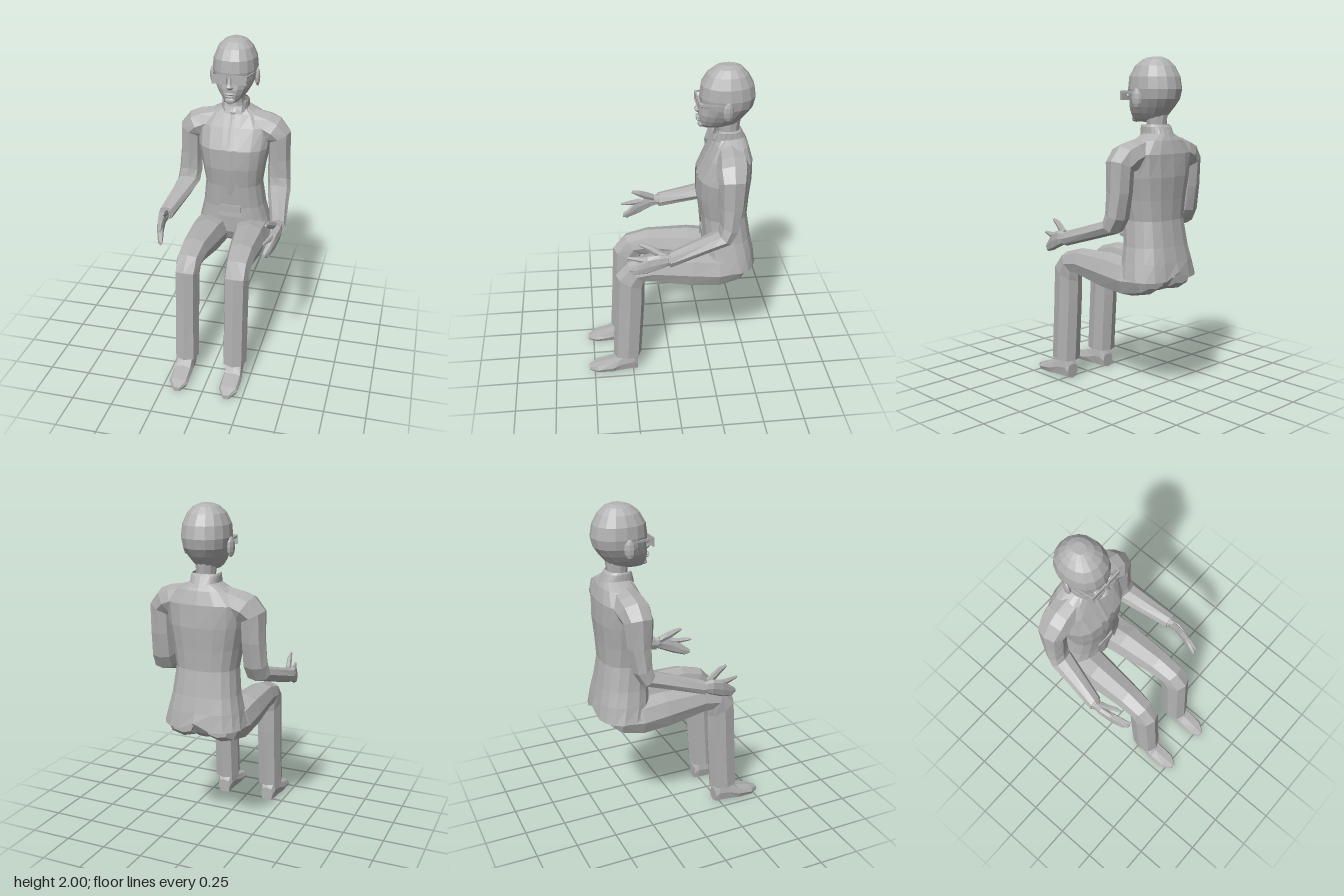
import * as THREE from 'three';

const clay = new THREE.MeshStandardMaterial({ color: 0xb2b2b2, flatShading: true, side: THREE.DoubleSide });
clay.name = 'plain grey';

// Rounded point, so no coordinate is a vanishingly small number
const snap = (v) => Math.round(v * 10000) / 10000;
const point = (x, y, z) => new THREE.Vector3(snap(x), snap(y), snap(z));
const power = (v, p) => Math.sign(v) * Math.pow(Math.abs(v), p);

// Section between a rear/lower point (ya, za) and a front/upper point (yb, zb), half width rx, tilt uy
function ring([cx, rx, ya, za, yb, zb, uy = 0], n, p = 1) {
  return Array.from({ length: n }, (_, j) => {
    const t = (j / n) * Math.PI * 2;
    const c = power(Math.cos(t), p), s = power(Math.sin(t), p);
    return point(cx + rx * c, (ya + yb) / 2 + uy * c + ((yb - ya) / 2) * s, (za + zb) / 2 + ((zb - za) / 2) * s);
  });
}

// Faceted skin over a list of sections; always turned outward
function skin(rings, closed = true) {
  const n = rings[0].length, points = rings.flat(), faces = [];
  const centre = points.reduce((sum, q) => sum.add(q), new THREE.Vector3()).divideScalar(points.length);
  for (let i = 0; i < rings.length - 1; i++) {
    for (let j = 0; j < (closed ? n : n - 1); j++) {
      const k = (j + 1) % n, a = i * n + j, b = i * n + k;
      faces.push([a, b, a + n], [b, b + n, a + n]);
    }
  }
  if (closed) {
    for (const i of [0, rings.length - 1]) {
      const hub = points.length;
      points.push(rings[i].reduce((sum, q) => sum.add(q), new THREE.Vector3()).divideScalar(n));
      for (let j = 0; j < n; j++) {
        const a = i * n + j, b = i * n + ((j + 1) % n);
        faces.push(i ? [hub, a, b] : [hub, b, a]);
      }
    }
  }
  let volume = 0;
  for (const face of faces) {
    const [a, b, c] = face.map((f) => points[f].clone().sub(centre));
    volume += a.dot(b.cross(c));
  }
  const geometry = new THREE.BufferGeometry().setFromPoints(points);
  geometry.setIndex(faces.flatMap(([a, b, c]) => (volume < 0 ? [a, c, b] : [a, b, c])));
  geometry.computeVertexNormals();
  return geometry;
}
const loft = (specs, n, p) => skin(specs.map((s) => ring(s, n, p)));

// Level sections: [y, half width, z front, z back]
const stack = (rows, n, p) => loft(rows.map(([y, w, f, b]) => [0, w, y, b, y, f]), n, p);

// Section open at the front: [y, half width, z front, z back, half opening, hem lift]
function wrap([y, w, f, b, gap, hem = 0]) {
  const p = 0.8, n = 16, start = Math.asin(Math.pow(gap / w, 1 / p));
  return Array.from({ length: n + 1 }, (_, j) => {
    const t = start + ((Math.PI * 2 - 2 * start) * j) / n;
    const lift = j === n / 2 ? hem : hem * Math.max(0, Math.cos(t));
    return point(w * power(Math.sin(t), p), y + lift, (f + b) / 2 + ((f - b) / 2) * power(Math.cos(t), p));
  });
}

export function createModel() {
  const model = new THREE.Group();
  model.name = 'seatedFigure';
  const add = (name, geometry, x = 0, y = 0, z = 0) => {
    const mesh = new THREE.Mesh(geometry, clay);
    mesh.name = name;
    mesh.position.set(x, y, z);
    model.add(mesh);
    return mesh;
  };
  const box = (name, w, h, d, x, y, z) => add(name, new THREE.BoxGeometry(w, h, d), x, y, z);
  const ball = (name, rx, ry, rz, x, y, z) =>
    add(name, new THREE.SphereGeometry(1, 8, 6).scale(rx, ry, rz), x, y, z);

  // Head and neck
  add('head', stack([
    [2.0, 0.035, -0.3, -0.38], [1.985, 0.07, -0.26, -0.415], [1.95, 0.105, -0.215, -0.45],
    [1.89, 0.131, -0.18, -0.484], [1.82, 0.137, -0.172, -0.497], [1.765, 0.128, -0.178, -0.485],
    [1.72, 0.108, -0.17, -0.455], [1.685, 0.088, -0.172, -0.425], [1.655, 0.066, -0.176, -0.4],
    [1.635, 0.04, -0.19, -0.33],
  ], 16, 0.92));
  add('neck', stack([[1.69, 0.058, -0.28, -0.42], [1.6, 0.054, -0.29, -0.41], [1.52, 0.065, -0.28, -0.42]], 10));

  // Face
  add('nose', loft([[0, 0.01, 1.8, -0.19, 1.8, -0.166], [0, 0.016, 1.76, -0.19, 1.757, -0.153],
    [0, 0.024, 1.738, -0.19, 1.738, -0.143], [0, 0.016, 1.725, -0.19, 1.722, -0.162]], 6));
  ball('upperLip', 0.034, 0.009, 0.014, 0, 1.696, -0.168);
  ball('lowerLip', 0.027, 0.009, 0.014, 0, 1.68, -0.17);
  ball('chin', 0.034, 0.02, 0.02, 0, 1.651, -0.187);

  // Spectacles, eyes and ears
  box('bridge', 0.034, 0.008, 0.008, 0, 1.8, -0.163);
  for (const s of [1, -1]) {
    ball('eye', 0.022, 0.012, 0.012, s * 0.055, 1.785, -0.184);
    ball('ear', 0.016, 0.057, 0.032, s * 0.138, 1.768, -0.322).rotation.y = s * 0.25;
    box('lens', 0.084, 0.044, 0.004, s * 0.06, 1.784, -0.166);
    for (const y of [1.761, 1.808]) box('rim', 0.092, 0.007, 0.009, s * 0.06, y, -0.165);
    for (const x of [0.017, 0.104]) box('rimSide', 0.006, 0.05, 0.009, s * x, 1.784, -0.165);
    box('templeArm', 0.006, 0.012, 0.18, s * 0.121, 1.803, -0.252).rotation.y = -s * 0.19;
  }

  // Open jacket and collar
  const coat = [
    [1.58, 0.07, -0.275, -0.435, 0.05], [1.535, 0.16, -0.262, -0.462, 0.055],
    [1.46, 0.235, -0.225, -0.485, 0.052], [1.33, 0.225, -0.163, -0.49, 0.05],
    [1.2, 0.2, -0.165, -0.48, 0.05], [1.08, 0.182, -0.185, -0.475, 0.055],
    [0.93, 0.2, -0.2, -0.5, 0.065], [0.84, 0.222, -0.2, -0.52, 0.085],
    [0.74, 0.245, -0.2, -0.535, 0.13, 0.045],
  ];
  add('jacket', skin(coat.map(wrap), false));
  add('collar', skin([[1.622, 0.078, -0.27, -0.412, 0.06], [1.61, 0.083, -0.265, -0.425, 0.06],
    [1.55, 0.085, -0.255, -0.455, 0.05]].map(wrap), false));

  // Shirt, tie and belt inside the opening
  add('shirt', stack(coat.slice(0, 7).map(([y, w, f, b]) => [y, w - 0.014, f - 0.01, b + 0.014]), 16, 0.8));
  add('tie', loft([[1.575, 0.014, -0.277], [1.55, 0.02, -0.262], [1.535, 0.013, -0.263], [1.46, 0.017, -0.226],
    [1.33, 0.022, -0.165], [1.2, 0.026, -0.167], [1.06, 0.03, -0.19], [1.015, 0.004, -0.195]]
    .map(([y, w, z]) => [0, w, y, z - 0.006, y, z + 0.002]), 4));
  box('belt', 0.14, 0.045, 0.02, 0, 0.92, -0.212);
  add('hips', stack([[0.96, 0.17, -0.215, -0.465], [0.86, 0.2, -0.205, -0.495], [0.75, 0.19, -0.21, -0.47],
    [0.69, 0.13, -0.24, -0.43], [0.66, 0.06, -0.28, -0.4]], 12, 0.8));

  // Limbs, shaped on the +x side and mirrored
  const pair = (name, specs, n, p) => {
    for (const [side, s] of [['left', 1], ['right', -1]]) {
      add(side + name, skin(specs.map((q) => ring(q, n, p).map((v) => v.setX(v.x * s)))));
    }
  };
  pair('Sleeve', [
    [0.08, 0.01, 1.5, -0.43, 1.5, -0.27, 0.06], [0.19, 0.03, 1.455, -0.445, 1.455, -0.255, 0.082],
    [0.24, 0.048, 1.435, -0.44, 1.435, -0.245, 0.075], [0.283, 0.069, 1.395, -0.422, 1.395, -0.255, 0.035],
    [0.285, 0.07, 1.25, -0.41, 1.25, -0.265], [0.29, 0.074, 1.1, -0.382, 1.14, -0.268],
    [0.297, 0.073, 1.02, -0.335, 1.09, -0.26], [0.31, 0.066, 0.985, -0.22, 1.07, -0.2],
    [0.355, 0.046, 0.91, 0.03, 1.0, 0.03],
  ], 8, 0.9);
  pair('Cuff', [[0.352, 0.036, 0.92, 0.0, 0.99, 0.0], [0.356, 0.036, 0.92, 0.045, 0.99, 0.042]], 8, 0.9);
  pair('Palm', [
    [0.356, 0.028, 0.925, 0.03, 0.985, 0.03], [0.362, 0.026, 0.9, 0.08, 0.995, 0.09],
    [0.35, 0.022, 0.865, 0.16, 0.975, 0.16], [0.33, 0.018, 0.845, 0.235, 0.925, 0.215],
    [0.315, 0.01, 0.86, 0.265, 0.885, 0.265],
  ], 8, 0.85);
  pair('IndexFinger', [
    [0.352, 0.016, 0.935, 0.12, 0.975, 0.12], [0.335, 0.014, 0.935, 0.2, 0.97, 0.2],
    [0.315, 0.008, 0.95, 0.275, 0.965, 0.275],
  ], 6);
  pair('Thumb', [
    [0.345, 0.018, 0.955, 0.06, 1.0, 0.06], [0.33, 0.016, 0.98, 0.125, 1.03, 0.115],
    [0.32, 0.014, 1.005, 0.16, 1.045, 0.15], [0.313, 0.007, 1.035, 0.205, 1.052, 0.2],
  ], 6);
  pair('TrouserLeg', [
    [0.11, 0.07, 0.69, -0.46, 0.78, -0.46], [0.12, 0.105, 0.655, -0.42, 0.82, -0.42],
    [0.13, 0.118, 0.625, -0.29, 0.84, -0.29], [0.14, 0.107, 0.64, -0.1, 0.86, -0.14],
    [0.149, 0.085, 0.685, 0.11, 0.855, 0.12], [0.153, 0.077, 0.69, 0.165, 0.815, 0.265],
    [0.154, 0.075, 0.64, 0.167, 0.73, 0.342], [0.154, 0.074, 0.5, 0.17, 0.5, 0.354],
    [0.154, 0.075, 0.12, 0.195, 0.12, 0.375],
  ], 8, 0.85);
  pair('Shoe', [
    [0.155, 0.04, 0.0, 0.22, 0.09, 0.22], [0.155, 0.05, 0.0, 0.245, 0.14, 0.245],
    [0.157, 0.052, 0.0, 0.31, 0.125, 0.31], [0.16, 0.06, 0.0, 0.38, 0.08, 0.38],
    [0.158, 0.058, 0.0, 0.48, 0.052, 0.48], [0.155, 0.02, 0.0, 0.535, 0.03, 0.535],
  ], 8, 0.6);
  return model;
}
